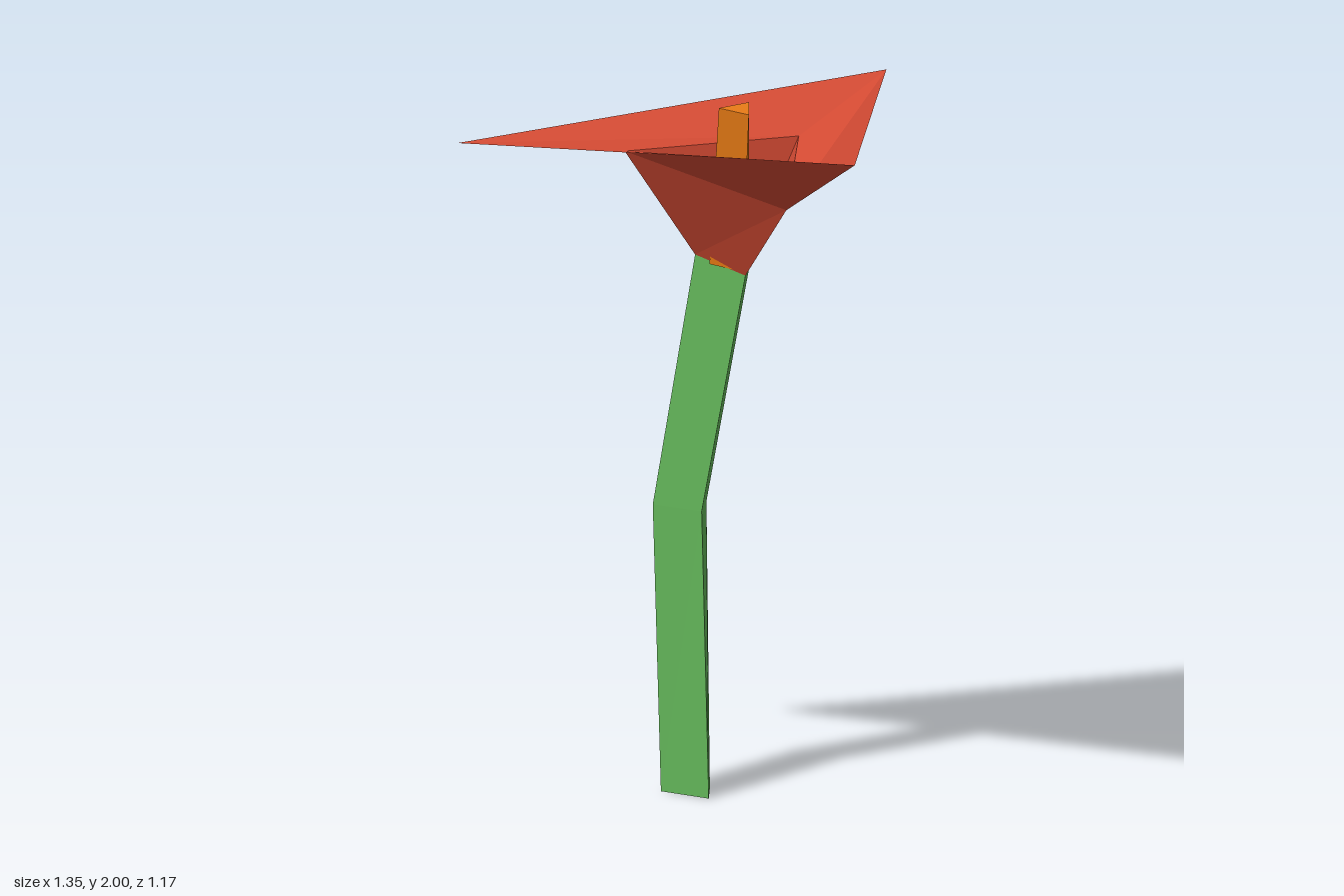
import * as THREE from 'three';

const flat = (name, color) => {
  const m = new THREE.MeshStandardMaterial({ color, side: THREE.DoubleSide, flatShading: true });
  m.name = name;
  return m;
};

// Skin triangular cross-sections (left, right, back corners), bottom to top
function loft(rings, capBottom, capTop) {
  const pos = [];
  const tri = (a, b, c) => pos.push(...a, ...b, ...c);
  for (let k = 0; k < rings.length - 1; k++) {
    const a = rings[k], b = rings[k + 1];
    for (let i = 0; i < 3; i++) {
      const j = (i + 1) % 3;
      tri(a[i], a[j], b[j]);
      tri(a[i], b[j], b[i]);
    }
  }
  if (capBottom) tri(rings[0][2], rings[0][1], rings[0][0]);
  if (capTop) tri(...rings[rings.length - 1]);
  const g = new THREE.BufferGeometry();
  g.setAttribute('position', new THREE.Float32BufferAttribute(pos, 3));
  g.computeVertexNormals();
  return g;
}

export function createModel() {
  const group = new THREE.Group();
  const green = flat('stem green', 0x62b458);
  const red = flat('petal red', 0xd34a33);
  const yellow = flat('flower centre yellow', 0xf0ba14);
  const orange = flat('stamen orange', 0xdc7410);
  const add = (name, geometry, material) => {
    const mesh = new THREE.Mesh(geometry, material);
    mesh.name = name;
    group.add(mesh);
  };

  // Bent three-sided stem
  const neck = [[-0.195, 1.55, 0.115], [-0.02, 1.51, 0.11], [-0.09, 1.58, -0.02]];
  add('stem', loft([
    [[-0.305, 0, 0.13], [-0.135, 0, 0.13], [-0.22, 0, 0.015]],
    [[-0.33, 0.82, 0.135], [-0.16, 0.82, 0.13], [-0.24, 0.82, 0.005]],
    neck,
  ], true, false), green);

  // Cup opening into three wide petals
  add('petals', loft([
    neck,
    [[-0.31, 1.86, 0.29], [0.23, 1.75, 0.245], [-0.055, 1.86, -0.18]],
    [[-0.675, 1.885, 0.585], [0.675, 1.975, 0.505], [-0.06, 1.985, -0.588]],
  ], false, false), red);

  // Floor of the cup
  add('flowerCentre', loft([neck], false, true), yellow);

  // Leaning stamen
  add('stamen', loft([
    [[-0.14, 1.53, 0.12], [-0.03, 1.52, 0.11], [-0.07, 1.56, 0.03]],
    [[-0.095, 1.985, 0.135], [0, 1.975, 0.12], [-0.035, 2, 0.075]],
  ], true, true), orange);

  return group;
}
